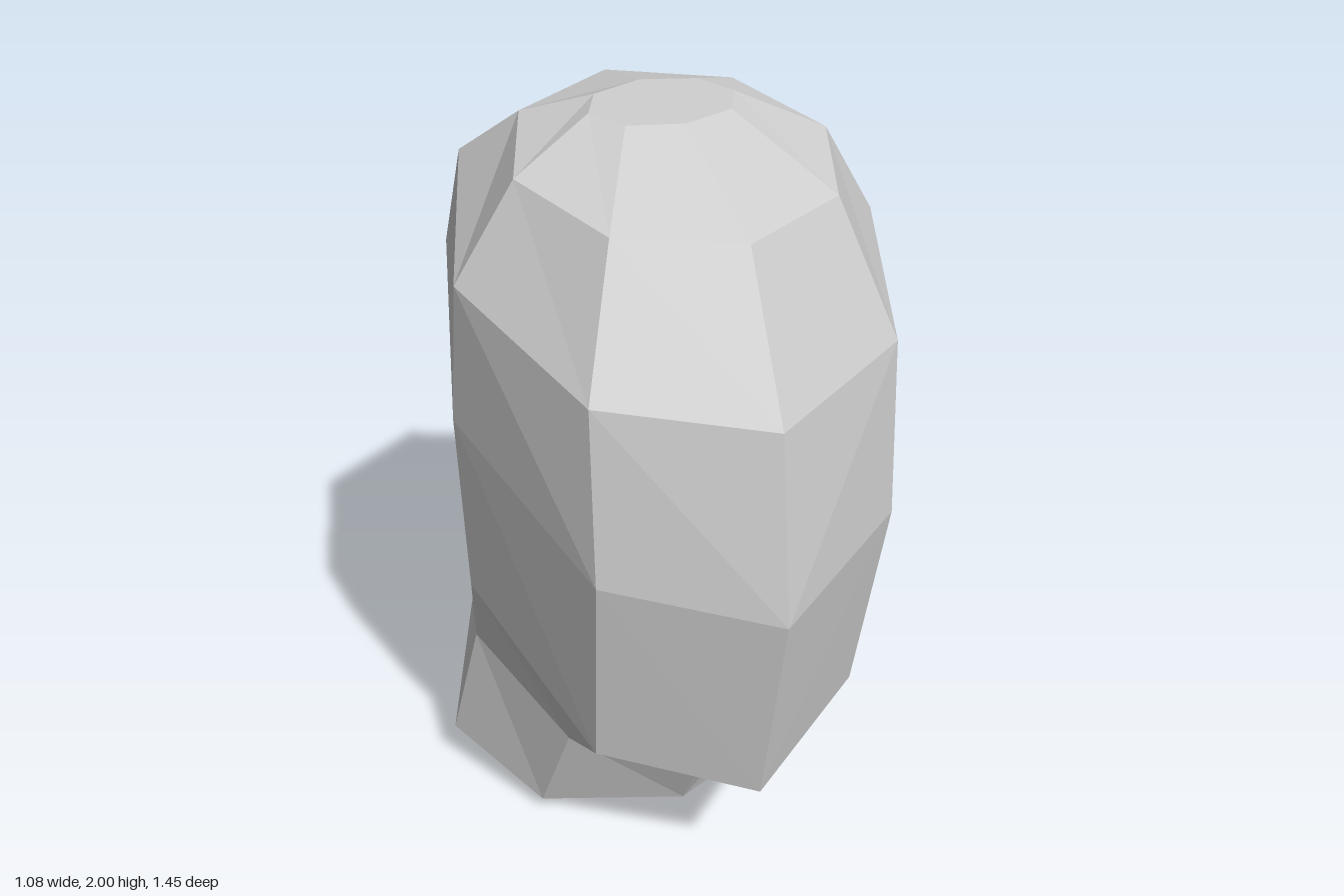
import * as THREE from 'three';

// Half cross-sections, front to back: [x, y, z] for
// front centre, front side, side, back side, back centre
const halves = [
  [[0, 0, 0.18], [0.38, 0.045, 0.07], [0.535, 0.145, -0.21], [0.38, 0.245, -0.485], [0, 0.28, -0.6]],      // neck base
  [[0, 0.28, 0.32], [0.34, 0.35, 0.19], [0.48, 0.52, -0.12], [0.34, 0.685, -0.43], [0, 0.75, -0.56]],      // neck top
  [[0, 0.4, 0.625], [0.36, 0.5, 0.43], [0.505, 0.74, -0.05], [0.36, 1.0, -0.525], [0, 1.1, -0.72]],        // jaw
  [[0, 0.98, 0.725], [0.385, 1.07, 0.52], [0.54, 1.28, 0.02], [0.38, 1.515, -0.47], [0, 1.61, -0.67]],     // cheeks
  [[0, 1.46, 0.66], [0.38, 1.52, 0.49], [0.535, 1.66, 0.085], [0.375, 1.81, -0.325], [0, 1.86, -0.5]],     // brow
  [[0, 1.825, 0.48], [0.275, 1.845, 0.367], [0.388, 1.895, 0.1], [0.275, 1.945, -0.165], [0, 1.96, -0.305]], // hairline
  [[0, 1.98, 0.155], [0.13, 1.983, 0.12], [0.18, 1.99, 0.03], [0.13, 1.997, -0.06], [0, 2.0, -0.1]],       // crown
];

// Mirror a half section into a closed eight-point ring
const rings = halves.map((h) => [...h, ...[3, 2, 1].map((i) => [-h[i][0], h[i][1], h[i][2]])]);

// Skin a run of rings with flat facets, optionally closing either end
function loft(name, list, material, closeBottom, closeTop) {
  const pos = [];
  const tri = (a, b, c) => pos.push(...a, ...b, ...c);
  const n = 8;
  for (let r = 0; r < list.length - 1; r++) {
    for (let i = 0; i < n; i++) {
      const j = (i + 1) % n;
      const a = list[r][i], b = list[r][j], c = list[r + 1][j], d = list[r + 1][i];
      // the diagonal is mirrored between the two sides
      if (i < 4) { tri(a, b, c); tri(a, c, d); } else { tri(a, b, d); tri(b, c, d); }
    }
  }
  const cap = (ring, up) => {
    const mid = [0, 1, 2].map((k) => (ring[2][k] + ring[6][k]) / 2);
    for (let i = 0; i < n; i++) {
      const a = ring[i], b = ring[(i + 1) % n];
      if (up) tri(mid, a, b); else tri(mid, b, a);
    }
  };
  if (closeBottom) cap(list[0], false);
  if (closeTop) cap(list[list.length - 1], true);
  const geo = new THREE.BufferGeometry();
  geo.setAttribute('position', new THREE.Float32BufferAttribute(pos, 3));
  geo.computeVertexNormals();
  const mesh = new THREE.Mesh(geo, material);
  mesh.name = name;
  return mesh;
}

export function createModel() {
  const group = new THREE.Group();
  group.name = 'headBust';
  const clay = new THREE.MeshStandardMaterial({ color: 0xcccccc });
  clay.name = 'light grey';
  group.add(
    loft('neck', rings.slice(0, 2), clay, true, false),
    loft('head', rings.slice(1, 6), clay, false, false),
    loft('crown', rings.slice(5), clay, false, true),
  );
  return group;
}
